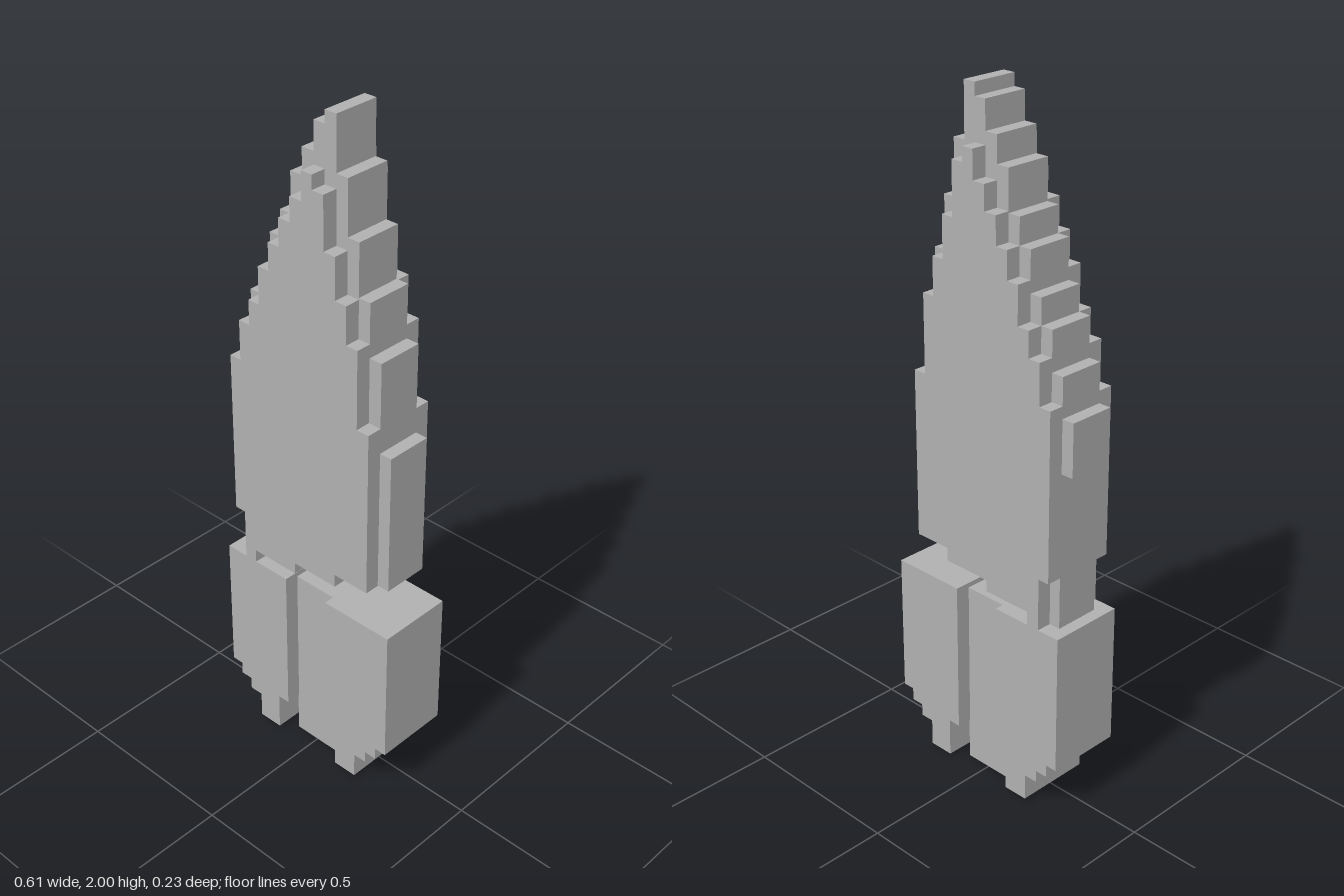
import * as THREE from 'three';

// Stepped half outline: each [x, y] is a column edge and the height at which it ends.
// Every step moves first sideways, then vertically.
function steppedShape(points) {
  const shape = new THREE.Shape();
  let [px, py] = points[0];
  shape.moveTo(px, py);
  for (const [x, y] of points.slice(1)) {
    if (x !== px && y !== py) shape.lineTo(x, py);
    shape.lineTo(x, y);
    [px, py] = [x, y];
  }
  shape.closePath();
  return shape;
}

export function createModel() {
  const model = new THREE.Group();
  const stone = new THREE.MeshStandardMaterial({ color: 0xb0b0b0 });
  stone.name = 'plain grey';

  function slab(name, points, halfDepth, parent = model) {
    const geo = new THREE.ExtrudeGeometry(steppedShape(points), { depth: halfDepth * 2, bevelEnabled: false });
    geo.translate(0, 0, -halfDepth);
    const mesh = new THREE.Mesh(geo, stone);
    mesh.name = name;
    parent.add(mesh);
    return mesh;
  }

  function box(name, x0, x1, y0, y1, halfDepth) {
    const mesh = new THREE.Mesh(new THREE.BoxGeometry(x1 - x0, y1 - y0, halfDepth * 2), stone);
    mesh.position.set((x0 + x1) / 2, (y0 + y1) / 2, 0);
    mesh.name = name;
    model.add(mesh);
  }

  const WIDE = 0.114, THIN = 0.069;

  // Thick blade body, clockwise from the lower left
  slab('bladeBody', [
    [-0.235, 0.585], [-0.235, 0.74], [-0.27, 0.74], [-0.27, 1.235], [-0.232, 1.355],
    [-0.194, 1.43], [-0.156, 1.54], [-0.118, 1.62], [-0.08, 1.7], [-0.04, 1.77], [0, 1.85],
    [0.036, 1.85], [0.036, 1.81], [0.074, 1.81], [0.074, 1.66], [0.112, 1.66], [0.112, 1.54],
    [0.15, 1.54], [0.15, 1.43], [0.188, 1.43], [0.188, 1.2], [0.228, 1.2], [0.228, 0.7],
    [0.112, 0.7], [0.112, 0.66], [-0.04, 0.66], [-0.04, 0.625], [-0.195, 0.625], [-0.195, 0.585],
  ], WIDE);

  // Thin core that stands out all round the blade edge
  slab('bladeCore', [
    [-0.26, 0.75], [-0.26, 1.045], [-0.308, 1.045], [-0.308, 1.2], [-0.27, 1.315], [-0.232, 1.43],
    [-0.194, 1.505], [-0.156, 1.62], [-0.118, 1.695], [-0.08, 1.81], [-0.04, 1.885], [0, 1.965],
    [0.036, 2], [0.074, 2], [0.074, 1.85], [0.112, 1.85], [0.112, 1.695], [0.15, 1.695],
    [0.15, 1.545], [0.188, 1.545], [0.188, 1.39], [0.228, 1.39], [0.228, 1.19], [0.22, 1.19],
    [0.22, 1.125], [0.266, 1.125], [0.266, 0.701], [0.2, 0.701], [0.2, 0.75],
  ], THIN);
  box('bladeStem', -0.27, -0.225, 0.585, 0.75, THIN);

  // Base: two stepped side blocks around a recessed centre block
  for (const side of [-1, 1]) {
    const outline = [
      [0.076, 0.585], [0.306, 0.585], [0.306, 0.165], [0.27, 0.165], [0.27, 0.127], [0.232, 0.127],
      [0.232, 0.09], [0.19, 0.09], [0.19, 0.01], [0.114, 0.01], [0.114, 0.127], [0.076, 0.127],
    ].map(([x, y]) => [x * side, y]);
    slab(side > 0 ? 'leftBaseBlock' : 'rightBaseBlock', outline, WIDE);
  }
  box('centreBaseBlock', -0.078, 0.078, 0, 0.57, THIN);

  return model;
}
